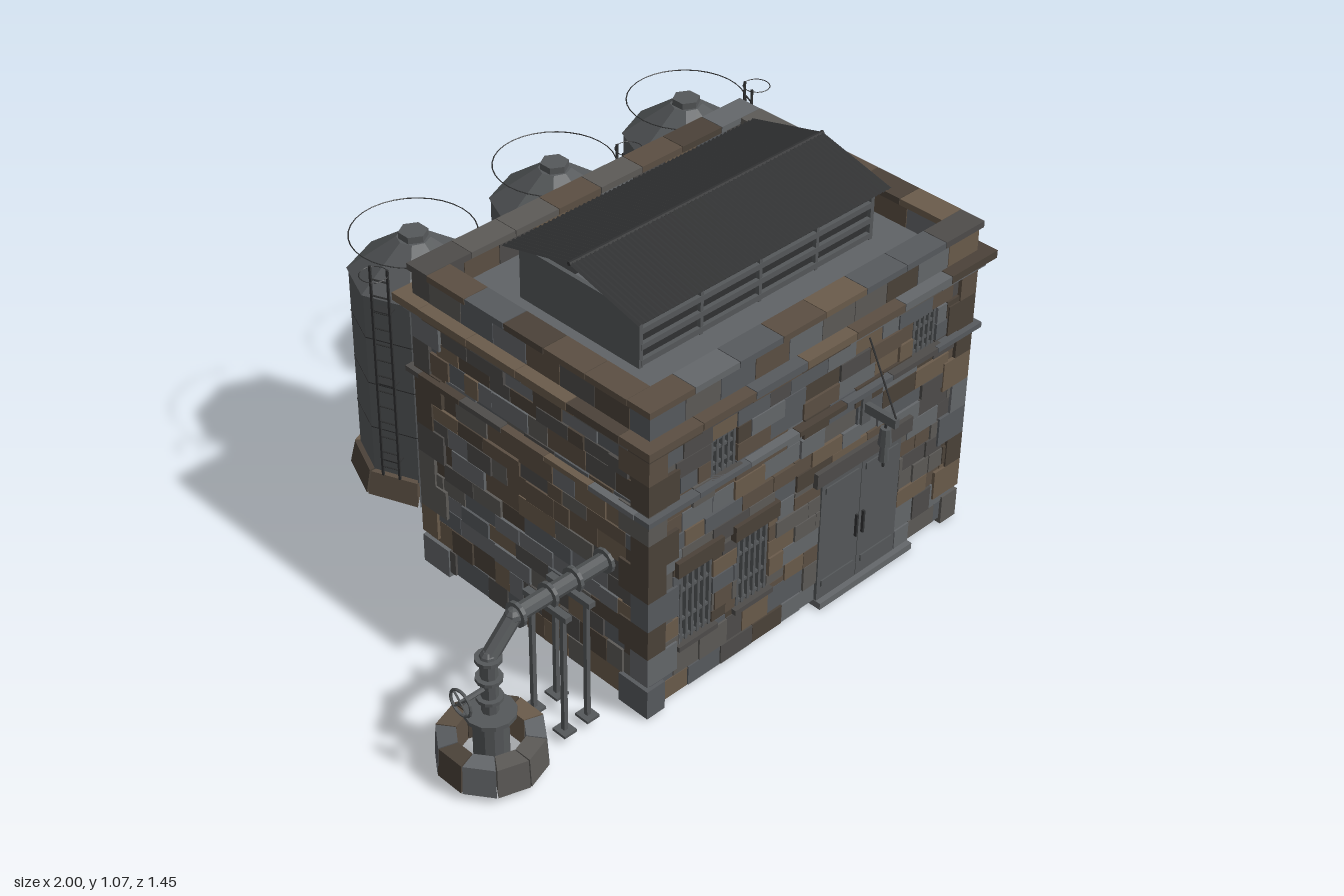
import * as THREE from 'three';
import { mergeGeometries } from 'three/addons/utils/BufferGeometryUtils.js';

const mat = (color) => new THREE.MeshStandardMaterial({ color, flatShading: true });
const metal = mat(0x55585a), dark = mat(0x303132), plaster = mat(0x606366);
const sheet = new THREE.MeshStandardMaterial({ color: 0x333435, flatShading: true, side: THREE.DoubleSide });
const stones = [0x5b4f43, 0x6a5b4b, 0x575a5e, 0x4e4c4a, 0x64676a, 0x4b4239, 0x5c5a57].map(mat);

let seed = 7;
const rnd = () => (seed = (seed * 16807) % 2147483647) / 2147483647;
const V = (x, y, z) => new THREE.Vector3(x, y, z);

function add(parent, name, geo, material, x = 0, y = 0, z = 0) {
  const m = new THREE.Mesh(geo, material);
  m.name = name;
  m.position.set(x, y, z);
  parent.add(m);
  return m;
}
const group = (parent, name, x = 0, y = 0, z = 0, ry = 0) => {
  const g = new THREE.Group();
  g.name = name;
  g.position.set(x, y, z);
  g.rotation.y = ry;
  parent.add(g);
  return g;
};
// box given by its low and high corners
function boxGeo(x0, x1, y0, y1, z0, z1) {
  return new THREE.BoxGeometry(x1 - x0, y1 - y0, z1 - z0).translate((x0 + x1) / 2, (y0 + y1) / 2, (z0 + z1) / 2);
}
const box = (p, n, m, ...c) => add(p, n, boxGeo(...c), m);
const cyl = (p, n, m, rt, rb, h, s, x, y, z) => add(p, n, new THREE.CylinderGeometry(rt, rb, h, s), m, x, y, z);
// round bar between two points
function rod(p, n, m, a, b, r, s = 8) {
  const o = cyl(p, n, m, r, r, a.distanceTo(b), s, 0, 0, 0);
  o.position.copy(a).lerp(b, 0.5);
  o.quaternion.setFromUnitVectors(V(0, 1, 0), b.clone().sub(a).normalize());
}
// pipe run with rounded joints
function pipe(p, n, pts, r) {
  pts.slice(1).forEach((b, i) => {
    rod(p, n, metal, pts[i], b, r);
    if (i) add(p, n + 'Joint', new THREE.SphereGeometry(r * 1.08, 8, 6), metal, ...pts[i].toArray());
  });
}
// collect stones by colour, then merge
const piles = () => stones.map(() => []);
const lay = (pile, geo) => pile[Math.floor(rnd() * stones.length)].push(geo);
const finish = (p, n, pile) => pile.forEach((g, i) => g.length && add(p, n, mergeGeometries(g), stones[i]));

// ring of wedge blocks, outer radius tapering upward
function blockRing(p, n, sides, ri, rb, rt, h) {
  const pile = piles(), step = (Math.PI * 2) / sides;
  for (let i = 0; i < sides; i++) {
    const g = new THREE.BoxGeometry(1, h, 1), q = g.attributes.position;
    for (let k = 0; k < q.count; k++) {
      const a = step * (i + 0.5 + q.getX(k) * 0.96);
      const r = q.getZ(k) < 0 ? ri : q.getY(k) < 0 ? rb : rt;
      q.setXYZ(k, r * Math.sin(a), q.getY(k) + h / 2, r * Math.cos(a));
    }
    g.computeVertexNormals();
    lay(pile, g);
  }
  finish(p, n, pile);
}

// rectangle [x0,x1,y0,y1] minus a hole
function cut([x0, x1, y0, y1], [a, b, c, d]) {
  if (x1 <= a || x0 >= b || y1 <= c || y0 >= d) return [[x0, x1, y0, y1]];
  const l = Math.max(y0, c), h = Math.min(y1, d);
  return [[x0, x1, y0, c], [x0, x1, d, y1], [x0, a, l, h], [b, x1, l, h]].filter((r) => r[1] - r[0] > 0.004 && r[3] - r[2] > 0.004);
}

const CX = 0.0825, CZ = 0.205, HX = 0.5675, HZ = 0.41;

function barredWindow(w, [x0, x1, y0, y1], small) {
  const g = group(w, 'window'), n = small ? 4 : 5;
  box(g, 'pane', dark, x0, x1, y0, y1, -0.043, -0.036);
  for (let i = 0; i <= n; i++) {
    const x = x0 + 0.006 + ((x1 - x0 - 0.012) * i) / n;
    box(g, 'bar', metal, x - 0.004, x + 0.004, y0, y1, -0.012, -0.002);
  }
  for (const t of [0.04, 0.3, 0.7, 0.96]) {
    const y = y0 + (y1 - y0) * t;
    box(g, 'crossBar', metal, x0, x1, y - 0.004, y + 0.004, -0.014, -0.004);
  }
  box(g, 'sill', stones[3], x0 - 0.012, x1 + 0.012, y0 - 0.015, y0, -0.04, 0.012);
  if (!small) box(g, 'lintel', stones[5], x0 - 0.022, x1 + 0.022, y1, y1 + 0.045, -0.04, 0.016);
}

// wall in its own frame: x along, z outward, with stones over a plain core
function stoneWall(root, name, half, x, z, ry, windows, door) {
  const w = group(root, name, x, 0, z, ry), holes = windows.concat(door ? [door] : []);
  const rect = (T, [a, b, c, d]) => new T([[a, c], [b, c], [b, d], [a, d]].map((p) => new THREE.Vector2(...p)));
  const s = rect(THREE.Shape, [-half + 0.012, half - 0.012, 0.02, 0.9]);
  s.holes = holes.map((h) => rect(THREE.Path, h));
  add(w, 'wallCore', new THREE.ExtrudeGeometry(s, { depth: 0.033, bevelEnabled: false }), plaster, 0, 0, -0.045);
  const pile = piles();
  for (let y = 0.02; y < 0.808;) {
    let top = y + (y < 0.1 ? 0.06 : 0.042) + rnd() * 0.02;
    if (top > 0.785) top = 0.81;
    for (let a = -half + 0.01; a < half - 0.012;) {
      let b = a + 0.05 + rnd() * 0.085;
      if (b > half - 0.05) b = half - 0.01;
      let parts = [[a, b, y, top]];
      for (const h of holes) parts = parts.flatMap((r) => cut(r, h));
      const out = rnd() * 0.008 - 0.003;
      for (const r of parts) lay(pile, boxGeo(r[0] + 0.001, r[1] - 0.001, r[2] + 0.001, r[3] - 0.001, -0.014, out));
      a = b;
    }
    y = top;
  }
  finish(w, 'wallStones', pile);
  windows.forEach((h) => barredWindow(w, h, h[3] - h[2] < 0.15));
  return w;
}

// course of long blocks running round the building
function course(root, name, y0, y1, out, thick, len) {
  const pile = piles(), ox = HX + out, oz = HZ + out;
  const run = (half, fn) => {
    const n = Math.round((2 * half) / len);
    for (let i = 0; i < n; i++) fn(-half + (2 * half * i) / n + 0.001, -half + (2 * half * (i + 1)) / n - 0.001);
  };
  for (const s of [-1, 1]) {
    run(ox, (a, b) => lay(pile, boxGeo(a, b, y0, y1, s > 0 ? oz - thick : -oz, s > 0 ? oz : -oz + thick)));
    run(oz - thick, (a, b) => lay(pile, boxGeo(s > 0 ? ox - thick : -ox, s > 0 ? ox : -ox + thick, y0, y1, a, b)));
  }
  finish(group(root, name, CX, 0, CZ), name + 'Blocks', pile);
}

function tank(root, x, side) {
  const t = group(root, 'tank', x, 0, -0.52);
  const base = group(t, 'tankBase', 0, 0.02, 0);
  blockRing(base, 'baseBlock', 8, 0.1, 0.205, 0.19, 0.068);
  cyl(t, 'tankBody', metal, 0.175, 0.175, 0.575, 8, 0, 0.3675, 0);
  cyl(t, 'tankRoof', metal, 0.045, 0.18, 0.1, 8, 0, 0.703, 0);
  cyl(t, 'tankCap', metal, 0.04, 0.04, 0.03, 6, 0, 0.757, 0);
  for (const y of [0.23, 0.375, 0.52]) cyl(t, 'seam', dark, 0.1762, 0.1762, 0.003, 8, 0, y, 0);
  add(t, 'topRing', new THREE.TorusGeometry(0.168, 0.0018, 4, 32).rotateX(Math.PI / 2), dark, 0, 0.765, 0);
  // ladder on one face
  const l = group(t, 'ladder', 0, 0, 0, side > 0 ? Math.PI * 3 / 8 : -Math.PI * 3 / 8);
  for (const s of [-1, 1]) box(l, 'rail', dark, s * 0.025 - 0.003, s * 0.025 + 0.003, 0.1, 0.77, 0.187, 0.193);
  for (let i = 0; i < 13; i++) rod(l, 'rung', dark, V(-0.025, 0.13 + i * 0.05, 0.19), V(0.025, 0.13 + i * 0.05, 0.19), 0.0025, 5);
  for (const y of [0.15, 0.4, 0.63]) box(l, 'bracket', dark, -0.025, 0.025, y, y + 0.004, 0.16, 0.19);
  add(l, 'hoop', new THREE.TorusGeometry(0.038, 0.0015, 4, 20).rotateX(Math.PI / 2), dark, 0, 0.765, 0.215);
  // outlet
  rod(t, 'outlet', metal, V(0, 0.143, 0.15), V(0, 0.143, x > 0.7 ? 0.2 : 0.31), 0.012);
  for (const z of [0.195, 0.235]) if (x < 0.7 || z < 0.2) rod(t, 'outletFlange', metal, V(0, 0.143, z - 0.006), V(0, 0.143, z + 0.006), 0.021, 10);
}

export function createModel() {
  const root = new THREE.Group();
  root.name = 'pumpHouse';

  // walls
  const door = [0.03, 0.33, 0.02, 0.405];
  const front = stoneWall(root, 'frontWall', HX, CX, CZ + HZ, 0,
    [[-0.46, -0.35, 0.175, 0.4], [-0.265, -0.155, 0.175, 0.4], [-0.367, -0.28, 0.632, 0.738], [0.347, 0.434, 0.632, 0.738]], door);
  stoneWall(root, 'rightWall', HZ, CX + HX, CZ, Math.PI / 2, [[-0.208, -0.082, 0.23, 0.455], [0.122, 0.245, 0.23, 0.455]]);
  stoneWall(root, 'backWall', HX, CX, CZ - HZ, Math.PI, []);
  stoneWall(root, 'leftWall', HZ, CX - HX, CZ, -Math.PI / 2, []);

  // double door, surround and step
  for (const s of [0, 1]) {
    box(front, 'doorLeaf', metal, 0.032 + s * 0.149, 0.179 + s * 0.149, 0.02, 0.43, -0.02, 0.004);
    box(front, 'doorHandle', dark, 0.165 + s * 0.025, 0.171 + s * 0.025, 0.16, 0.23, 0.004, 0.012);
    for (const y of [0.06, 0.36]) box(front, 'doorBatten', metal, 0.045 + s * 0.149, 0.166 + s * 0.149, y, y + 0.02, 0, 0.008);
  }
  box(front, 'doorLintel', stones[3], 0, 0.355, 0.405, 0.45, -0.03, 0.016);
  box(front, 'doorStep', stones[4], 0.03, 0.385, 0, 0.02, -0.06, 0.02);

  // corner stones
  const quoins = piles();
  for (const sx of [-1, 1]) for (const sz of [-1, 1]) for (let i = 0; i < 9; i++) {
    const a = i % 2 ? 0.1 : 0.06, b = i % 2 ? 0.06 : 0.1, y = i ? 0.02 + i * 0.0878 : 0.005;
    lay(quoins, new THREE.BoxGeometry(a, 0.1058 + 0.002 - 0.02, b).translate(CX + sx * (HX + 0.008 - a / 2), y + 0.044, CZ + sz * (HZ + 0.008 - b / 2)));
  }
  finish(group(root, 'quoins'), 'quoinStones', quoins);

  // projecting courses and parapet
  course(root, 'stringCourse', 0.607, 0.617, 0.014, 0.05, 0.16);
  course(root, 'stringCourseTop', 0.617, 0.632, 0.024, 0.05, 0.16);
  course(root, 'corniceLower', 0.805, 0.828, 0.022, 0.07, 0.17);
  course(root, 'corniceUpper', 0.828, 0.85, 0.04, 0.1, 0.17);
  course(root, 'parapet', 0.85, 0.918, 0.004, 0.065, 0.12);
  course(root, 'parapetCap', 0.918, 0.936, 0.012, 0.075, 0.15);
  box(root, 'flatRoof', plaster, CX - HX + 0.03, CX + HX - 0.03, 0.845, 0.86, CZ - HZ + 0.03, CZ + HZ - 0.03);

  // roof lantern with louvred sides and corrugated gable
  const lan = group(root, 'roofLantern', 0.085, 0, 0.205);
  for (const s of [-1, 1]) {
    box(lan, 'endPanel', metal, s * 0.4 - 0.006, s * 0.4 + 0.006, 0.86, 1.01, -0.207, 0.207);
    box(lan, 'sidePanel', dark, -0.4, 0.4, 0.86, 1.005, s * 0.192 - 0.004, s * 0.192 + 0.004);
    for (const y of [0.865, 0.91, 0.955, 0.995]) box(lan, 'louvre', metal, -0.4, 0.4, y, y + 0.016, s * 0.2 - 0.008, s * 0.2 + 0.008);
    for (let i = 0; i < 5; i++) box(lan, 'post', metal, -0.405 + i * 0.2, -0.395 + i * 0.2, 0.86, 1.01, s * 0.2 - 0.007, s * 0.2 + 0.007);
    const g = new THREE.PlaneGeometry(0.87, 0.242, 120, 1).rotateX(-Math.PI / 2), q = g.attributes.position;
    for (let k = 0; k < q.count; k++) q.setY(k, (k % 121) % 2 ? 0.004 : 0);
    add(lan, 'corrugatedRoof', g.rotateX(s * 0.25), sheet, 0, 1.038, s * 0.1175);
  }
  rod(lan, 'ridge', dark, V(-0.435, 1.068, 0), V(0.435, 1.068, 0), 0.006, 6);

  // downpipe on the right wall
  pipe(root, 'downpipe', [V(0.665, 0.02, 0.545), V(0.665, 0.8, 0.545)], 0.008);

  // bracket with hanging lamp above the door
  const lamp = group(root, 'lampBracket', 0.257, 0, 0);
  box(lamp, 'arm', metal, -0.008, 0.008, 0.557, 0.583, 0.61, 0.725);
  box(lamp, 'armPlate', metal, -0.016, 0.016, 0.52, 0.62, 0.61, 0.626);
  rod(lamp, 'stay', dark, V(0, 0.58, 0.722), V(0, 0.775, 0.62), 0.0025, 5);
  rod(lamp, 'hanger', dark, V(0, 0.56, 0.69), V(0, 0.42, 0.69), 0.004, 5);
  cyl(lamp, 'lampHousing', metal, 0.014, 0.018, 0.05, 8, 0, 0.515, 0.69);
  cyl(lamp, 'lampShade', metal, 0.01, 0.014, 0.05, 8, 0, 0.465, 0.69);

  // tanks and their feed manifold
  [[-0.23, -1], [0.265, 1], [0.765, 1]].forEach(([x, s]) => tank(root, x, s));
  const feed = group(root, 'feedManifold');
  pipe(feed, 'mainPipe', [V(-0.38, 0.71, -0.235), V(0.905, 0.71, -0.235), V(0.905, 0.685, -0.385), V(0.86, 0.67, -0.42)], 0.016);
  for (const x of [-0.23, 0.265]) {
    pipe(feed, 'branchPipe', [V(x, 0.712, -0.225), V(x, 0.682, -0.39)], 0.016);
    rod(feed, 'branchFlange', metal, V(x, 0.712, -0.225), V(x, 0.709, -0.245), 0.024, 10);
  }

  // well head with valve and supply pipe
  const well = group(root, 'wellHead', -0.86, 0, 0.47);
  blockRing(group(well, 'wellRing', 0, 0.02, 0), 'ringBlock', 10, 0.085, 0.14, 0.135, 0.083);
  cyl(well, 'wellCasing', metal, 0.045, 0.045, 0.145, 12, 0, 0.0925, 0);
  cyl(well, 'wellFlange', metal, 0.065, 0.065, 0.012, 12, 0, 0.167, 0);
  pipe(well, 'supplyPipe', [V(0, 0.17, 0), V(0, 0.335, 0), V(0.08, 0.415, 0), V(0.385, 0.415, 0)], 0.022);
  for (const y of [0.215, 0.275, 0.335]) cyl(well, 'pipeFlange', metal, 0.034, 0.034, 0.01, 12, 0, y, 0);
  for (const x of [0.09, 0.19, 0.27, 0.37]) rod(well, 'pipeFlange', metal, V(x - 0.005, 0.415, 0), V(x + 0.005, 0.415, 0), 0.034, 12);
  rod(well, 'valveStem', metal, V(0, 0.25, 0), V(-0.092, 0.25, 0), 0.007, 6);
  add(well, 'valveWheel', new THREE.TorusGeometry(0.036, 0.004, 6, 16).rotateY(Math.PI / 2), metal, -0.088, 0.25, 0);
  for (let i = 0; i < 2; i++) {
    const c = Math.cos(0.8 + i * Math.PI / 2) * 0.036, s = Math.sin(0.8 + i * Math.PI / 2) * 0.036;
    rod(well, 'wheelSpoke', metal, V(-0.088, 0.25 - s, -c), V(-0.088, 0.25 + s, c), 0.003, 5);
  }

  // pipe stands
  for (const x of [-0.675, -0.6]) {
    const st = group(root, 'pipeStand', x, 0, 0.47);
    box(st, 'crossBeam', metal, -0.01, 0.01, 0.378, 0.394, -0.075, 0.075);
    for (const s of [-1, 1]) {
      box(st, 'leg', metal, -0.006, 0.006, 0.02, 0.38, s * 0.055 - 0.006, s * 0.055 + 0.006);
      box(st, 'foot', metal, -0.02, 0.02, 0.02, 0.028, s * 0.055 - 0.022, s * 0.055 + 0.022);
    }
  }
  return root;
}
